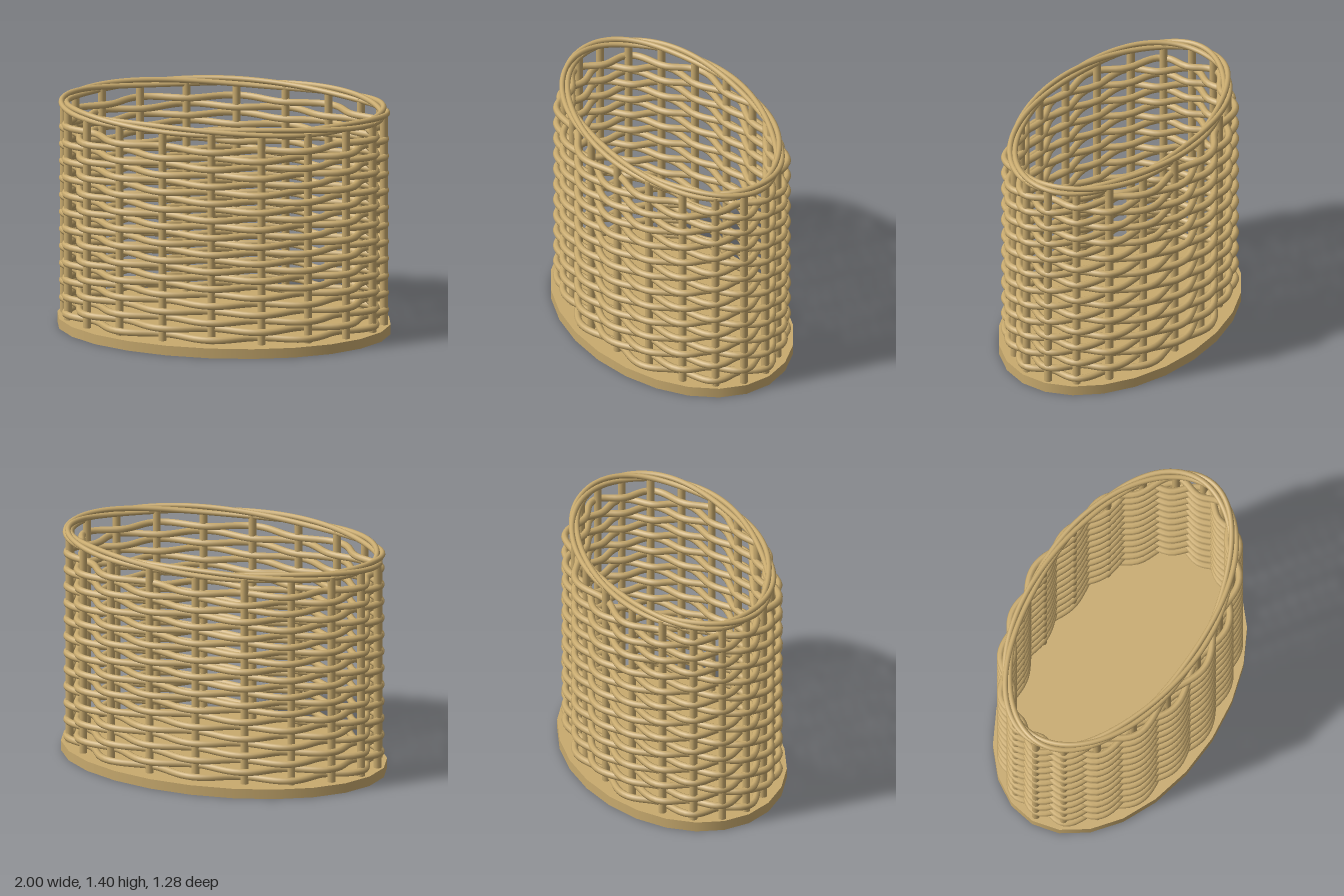
import * as THREE from 'three';

const TAU = Math.PI * 2;

// Closed curve defined by a function of the angle
class RingCurve extends THREE.Curve {
  constructor(fn) {
    super();
    this.fn = fn;
    this.arcLengthDivisions = 400;
  }
  getPoint(t, target = new THREE.Vector3()) {
    return target.copy(this.fn(t * TAU));
  }
}

const ellipsePoint = (a, b, y, angle) =>
  new THREE.Vector3(a * Math.cos(angle), y, b * Math.sin(angle));

export function createModel() {
  const basket = new THREE.Group();
  basket.name = 'basket';
  const wicker = new THREE.MeshStandardMaterial({ color: 0xc8aa6e });
  wicker.name = 'wicker';

  const add = (parent, name, geometry) => {
    const mesh = new THREE.Mesh(geometry, wicker);
    mesh.name = name;
    parent.add(mesh);
    return mesh;
  };
  const addGroup = (name) => {
    const group = new THREE.Group();
    group.name = name;
    basket.add(group);
    return group;
  };

  // Oval base board
  const base = new THREE.CylinderGeometry(1, 1, 0.06, 24);
  base.scale(1, 1, 0.64).translate(0, 0.03, 0);
  add(basket, 'base', base);

  // Upright stakes
  const STAKES = 20;
  const stakes = addGroup('stakes');
  const stakeGeometry = new THREE.CylinderGeometry(0.024, 0.024, 1.32, 12);
  for (let i = 0; i < STAKES; i++) {
    add(stakes, 'stake', stakeGeometry)
      .position.copy(ellipsePoint(0.96, 0.535, 0.7, (i / STAKES) * TAU));
  }

  // Woven rows, passing alternately outside and inside the stakes
  const ROWS = 23;
  const weavers = addGroup('weavers');
  for (let row = 0; row < ROWS; row++) {
    const y = 0.097 + row * 0.05295;
    const swing = row % 2 ? 0.037 : -0.037;
    const curve = new RingCurve((angle) => {
      const d = swing * Math.cos(angle * STAKES / 2);
      return ellipsePoint(0.932 + d, 0.56 + d, y, angle);
    });
    add(weavers, 'weaver', new THREE.TubeGeometry(curve, 160, 0.0215, 8, true));
  }

  // Twisted rim of three strands
  const STRANDS = 3;
  const rim = addGroup('rim');
  for (let i = 0; i < STRANDS; i++) {
    const curve = new RingCurve((angle) => {
      const twist = angle * 3 + (i / STRANDS) * TAU;
      const d = 0.019 * Math.cos(twist);
      return ellipsePoint(0.959 + d, 0.529 + d, 1.366 + 0.018 * Math.sin(twist), angle);
    });
    add(rim, 'rimStrand', new THREE.TubeGeometry(curve, 160, 0.0165, 10, true));
  }

  return basket;
}
